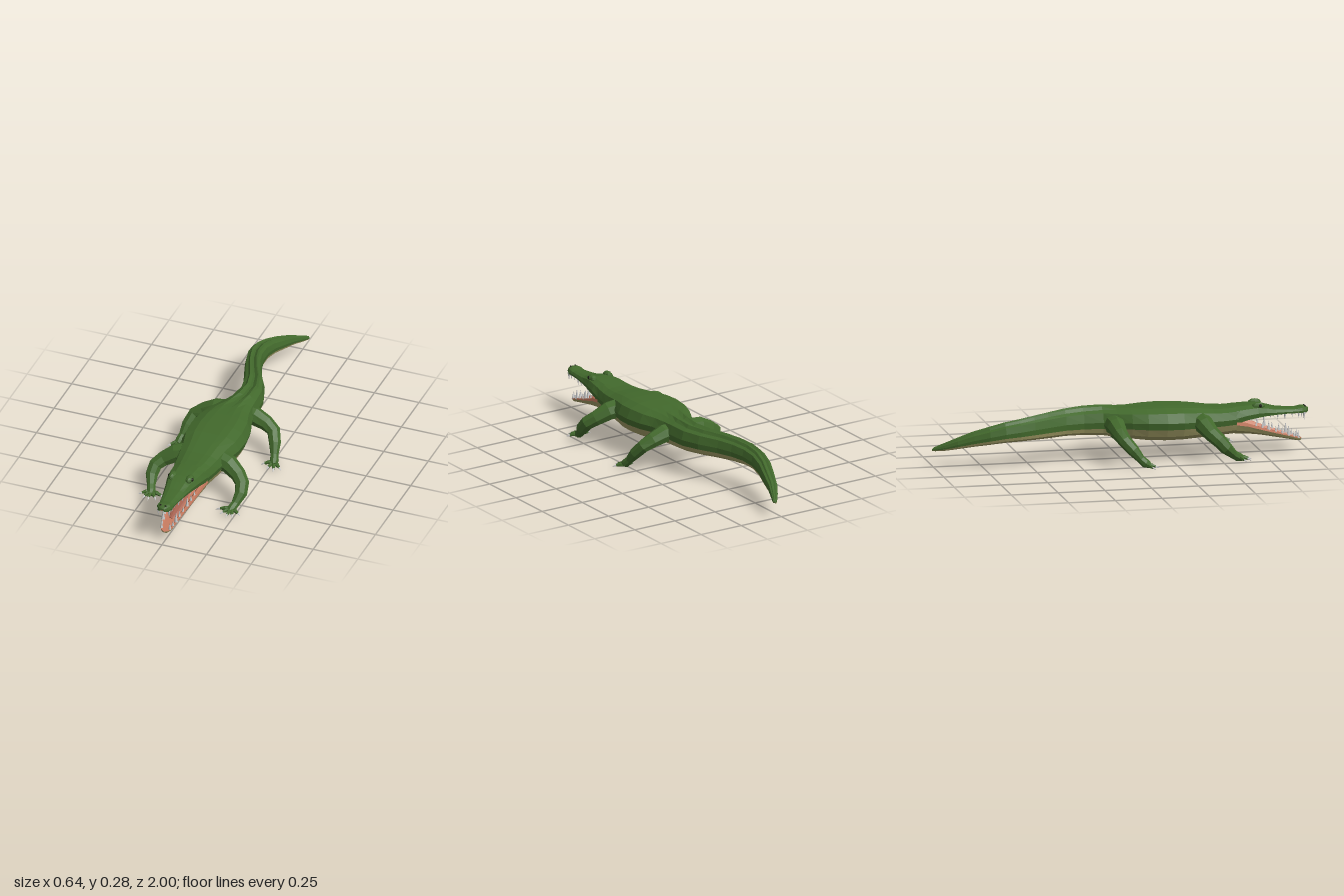
import * as THREE from 'three';

const mat = (color) => new THREE.MeshStandardMaterial({ color, flatShading: true, side: THREE.DoubleSide });
const green = mat(0x42692c), tan = mat(0x9a9560), pink = mat(0xc67a5f), tongueMat = mat(0xa5604e);
const dark = mat(0x1a1d12), bone = mat(0xcccccc);
const V = (x, y, z) => new THREE.Vector3(x, y, z);

// Skin between rings of points; rings may be closed loops (with end caps) or open strips
function loft(rings, closed = false) {
  const n = rings[0].length, pos = [], idx = [];
  rings.forEach((r) => r.forEach((p) => pos.push(p.x, p.y, p.z)));
  for (let i = 0; i < rings.length - 1; i++) {
    for (let j = 0; j < (closed ? n : n - 1); j++) {
      const k = (j + 1) % n, a = i * n + j, b = i * n + k;
      idx.push(a, b, b + n, a, b + n, a + n);
    }
  }
  if (closed) {
    const e = (rings.length - 1) * n;
    for (let j = 1; j < n - 1; j++) idx.push(0, j + 1, j, e, e + j, e + j + 1);
  }
  const g = new THREE.BufferGeometry();
  g.setAttribute('position', new THREE.Float32BufferAttribute(pos, 3));
  g.setIndex(idx);
  g.computeVertexNormals();
  return g;
}

function add(parent, name, geometry, material) {
  const m = new THREE.Mesh(geometry, material);
  m.name = name;
  parent.add(m);
  return m;
}

// Round limb through [x, y, z, radius] stations, s = -1 mirrors it
function limb(stations, s = 1, sides = 8, flat = 1) {
  const P = stations.map(([x, y, z]) => V(x * s, y, z)), ref = V(0, 1, 1);
  return loft(P.map((p, i) => {
    const d = P[Math.min(i + 1, P.length - 1)].clone().sub(P[Math.max(i - 1, 0)]).normalize();
    const u = ref.clone().cross(d).normalize(), v = d.clone().cross(u);
    return Array.from({ length: sides }, (_, j) => {
      const a = (j / sides) * Math.PI * 2, r = stations[i][3];
      return p.clone().addScaledVector(u, Math.cos(a) * r).addScaledVector(v, Math.sin(a) * r * flat);
    });
  }), true);
}

// Half profile (+x side, in travel order) completed with its mirror image
const mirror = (half) => [...half, ...half.slice().reverse().map(([u, v]) => [-u, v])];
// Place a unit profile in a section [z, centreX, halfWidth, yBottom, yTop]
const place = (profile, [z, cx, w, b, t]) => profile.map(([u, v]) => V(cx + u * w, b + v * (t - b), z));
const mix = (A, B, t) => A.map(([u, v], i) => [u + (B[i][0] - u) * t, v + (B[i][1] - v) * t]);
const flip = (p) => p.slice().reverse();

// z, centreX, halfWidth, yBottom, yTop, tailness
const BODY = [
  [-1, 0.032, 0.003, 0.083, 0.092, 1], [-0.985, 0.03, 0.014, 0.081, 0.102, 1],
  [-0.94, 0.005, 0.022, 0.087, 0.125, 1], [-0.88, -0.025, 0.03, 0.1, 0.155, 1],
  [-0.8, -0.052, 0.038, 0.115, 0.19, 1], [-0.72, -0.08, 0.042, 0.128, 0.217, 1],
  [-0.64, -0.094, 0.045, 0.138, 0.24, 1], [-0.56, -0.092, 0.047, 0.141, 0.253, 1],
  [-0.48, -0.072, 0.047, 0.141, 0.263, 1], [-0.4, -0.042, 0.05, 0.14, 0.27, 1],
  [-0.3, 0.003, 0.06, 0.139, 0.276, 1], [-0.2, 0.029, 0.069, 0.135, 0.28, 1],
  [-0.1, 0.027, 0.08, 0.13, 0.283, 0.8], [-0.03, 0.012, 0.1, 0.123, 0.279, 0.45],
  [0.04, 0, 0.125, 0.115, 0.278, 0.1], [0.12, 0, 0.152, 0.106, 0.28, 0],
  [0.22, 0, 0.165, 0.1, 0.282, 0], [0.31, 0, 0.16, 0.1, 0.278, 0],
  [0.4, 0, 0.135, 0.103, 0.27, 0], [0.48, 0, 0.122, 0.108, 0.259, 0],
  [0.55, 0, 0.11, 0.112, 0.256, 0], [0.62, 0, 0.098, 0.116, 0.26, 0],
];
const BACK = [[0.94, 0.4], [1, 0.6], [0.86, 0.87], [0.55, 0.98], [0.3, 1], [0.08, 1]];
const TAIL = [[0.94, 0.26], [1, 0.48], [0.82, 0.8], [0.52, 0.88], [0.36, 1], [0.1, 0.92]];
const BELLY = [[0.94, 0.4], [0.82, 0.18], [0.52, 0.03], [0.15, 0]];
const UNDERTAIL = [[0.94, 0.26], [0.84, 0.12], [0.52, 0.02], [0.15, 0]];

function buildBody(g) {
  add(g, 'back', loft(BODY.map((s) => place(mirror(mix(BACK, TAIL, s[5])), s))), green);
  add(g, 'belly', loft(BODY.map((s) => place(flip(mirror(mix(BELLY, UNDERTAIL, s[5]))), s))), tan);
  const end = BODY[BODY.length - 1];
  const outline = place([...mirror(BACK), ...flip(mirror(BELLY)).slice(1, -1)], end);
  add(g, 'throat', loft([outline, outline.map((p) => V(p.x * 0.6, 0.18 + (p.y - 0.18) * 0.6, 0.615))], true), tongueMat);
}

// z, centreX, halfWidth, yBottom, yTop
const UPPER = [
  [0.6, 0, 0.101, 0.175, 0.26], [0.66, 0, 0.095, 0.192, 0.263], [0.72, 0, 0.083, 0.2, 0.264],
  [0.77, 0, 0.07, 0.204, 0.254], [0.82, 0, 0.06, 0.206, 0.24], [0.88, 0, 0.048, 0.207, 0.234],
  [0.93, 0, 0.041, 0.206, 0.232], [0.965, 0, 0.041, 0.204, 0.24], [0.988, 0, 0.03, 0.206, 0.237],
  [1, 0, 0.014, 0.212, 0.228], [1, 0, 0, 0.22, 0.22],
];
const LOWER = [
  [0.6, 0, 0.1, 0.115, 0.188], [0.66, 0, 0.091, 0.112, 0.174], [0.74, 0, 0.075, 0.1, 0.144],
  [0.82, 0, 0.057, 0.083, 0.116], [0.89, 0, 0.043, 0.068, 0.094], [0.935, 0, 0.033, 0.057, 0.079],
  [0.96, 0, 0.02, 0.055, 0.071], [0.968, 0, 0, 0.063, 0.065],
];

// Tooth cone standing on its base at (x, y, z), dir = 1 up or -1 down
function tooth(g, x, y, z, h, dir) {
  const m = add(g, 'tooth', new THREE.ConeGeometry(h * 0.17 + 0.0015, h, 5), bone);
  m.position.set(x, y + dir * (h / 2 - 0.004), z);
  if (dir < 0) m.rotation.x = Math.PI;
}

// Interpolate a jaw section at a given z
function sectionAt(table, z) {
  const i = Math.max(1, table.findIndex((s) => s[0] >= z)), a = table[i - 1], b = table[i];
  return a.map((v, k) => v + (b[k] - v) * ((z - a[0]) / (b[0] - a[0])));
}

function buildHead(g) {
  const skull = mirror([[0.95, 0], [1, 0.35], [0.84, 0.78], [0.5, 0.98], [0.15, 1]]);
  const palate = flip(mirror([[0.95, 0], [0.78, 0.02], [0.55, 0.16]]));
  add(g, 'upperJaw', loft(UPPER.map((s) => place(skull, s))), green);
  add(g, 'palate', loft(UPPER.map((s) => place(palate, s))), pink);
  const chin = flip(mirror([[1, 0.75], [0.86, 0.3], [0.5, 0.02]]));
  const gum = mirror([[1, 0.75], [0.97, 1], [0.78, 1], [0.6, 0.62]]);
  add(g, 'lowerJaw', loft(LOWER.map((s) => place(chin, s))), tan);
  add(g, 'lowerGum', loft(LOWER.map((s) => place(gum, s))), pink);
  add(g, 'tongue', limb([[0, 0.145, 0.62, 0.045], [0, 0.128, 0.72, 0.04], [0, 0.103, 0.82, 0.026], [0, 0.09, 0.87, 0.01]], 1, 8, 0.35), tongueMat);

  const upperTeeth = [[0.71, 0.02], [0.75, 0.026], [0.79, 0.02], [0.83, 0.03], [0.87, 0.036], [0.91, 0.024], [0.945, 0.03], [0.975, 0.042]];
  const lowerTeeth = [[0.71, 0.03], [0.745, 0.036], [0.78, 0.052], [0.82, 0.036], [0.855, 0.04], [0.89, 0.056], [0.92, 0.034], [0.945, 0.04]];
  for (const s of [1, -1]) {
    for (const [z, h] of upperTeeth) {
      const q = sectionAt(UPPER, z);
      tooth(g, s * q[2] * 0.83, q[3], z, h, -1);
    }
    for (const [z, h] of lowerTeeth) {
      const q = sectionAt(LOWER, z);
      tooth(g, s * q[2] * 0.84, q[4], z, h, 1);
    }
    // Brow with the eye looking outwards
    const brow = add(g, 'brow', new THREE.SphereGeometry(1, 8, 6), green);
    brow.scale.set(0.021, 0.02, 0.036);
    brow.position.set(s * 0.048, 0.257, 0.725);
    const eye = add(g, 'eye', new THREE.SphereGeometry(0.01, 8, 6), dark);
    eye.position.set(s * 0.062, 0.26, 0.733);
    const nostril = add(g, 'nostril', new THREE.SphereGeometry(0.006, 6, 5), dark);
    nostril.position.set(s * 0.014, 0.236, 0.982);
  }
}

// Limb stations [x, y, z, radius] and claw tips [x, z] for the left side
const LEGS = {
  frontLeg: {
    path: [[0.08, 0.2, 0.405, 0.055], [0.15, 0.187, 0.42, 0.05], [0.21, 0.152, 0.445, 0.041], [0.243, 0.125, 0.475, 0.038],
      [0.25, 0.085, 0.51, 0.034], [0.236, 0.046, 0.553, 0.023], [0.226, 0.03, 0.58, 0.024], [0.222, 0.022, 0.602, 0.017]],
    tips: [[0.142, 0.598], [0.178, 0.634], [0.218, 0.652], [0.252, 0.643], [0.285, 0.612]], tipY: 0.014,
  },
  hindLeg: {
    path: [[0.05, 0.195, -0.045, 0.055], [0.11, 0.195, -0.045, 0.05], [0.175, 0.17, -0.04, 0.041], [0.222, 0.142, -0.025, 0.036],
      [0.245, 0.095, 0.015, 0.032], [0.257, 0.05, 0.052, 0.022], [0.265, 0.028, 0.075, 0.024], [0.268, 0.018, 0.096, 0.016]],
    tips: [[0.2, 0.1], [0.243, 0.137], [0.285, 0.146], [0.319, 0.118]], tipY: 0.004,
  },
};

function buildLeg(name, s) {
  const leg = new THREE.Group(), { path, tips, tipY } = LEGS[name];
  leg.name = name;
  add(leg, 'limb', limb(path, s), green);
  const [fx, fy, fz] = path[path.length - 2];
  for (const [x, z] of tips) {
    const at = (t, y, r) => [fx + (x - fx) * t, y, fz + (z - fz) * t, r];
    add(leg, 'toe', limb([at(0, fy - 0.008, 0.013), at(0.4, tipY + 0.014, 0.011), at(0.72, tipY + 0.008, 0.007)], s, 6), green);
    add(leg, 'claw', limb([at(0.66, tipY + 0.009, 0.006), at(0.85, tipY + 0.005, 0.004), at(1, tipY, 0.0008)], s, 5), bone);
  }
  return leg;
}

export function createModel() {
  const model = new THREE.Group();
  model.name = 'crocodile';
  const body = new THREE.Group(), head = new THREE.Group();
  body.name = 'body';
  head.name = 'head';
  buildBody(body);
  buildHead(head);
  model.add(body, head);
  for (const name of Object.keys(LEGS)) for (const s of [1, -1]) model.add(buildLeg(name, s));
  return model;
}
